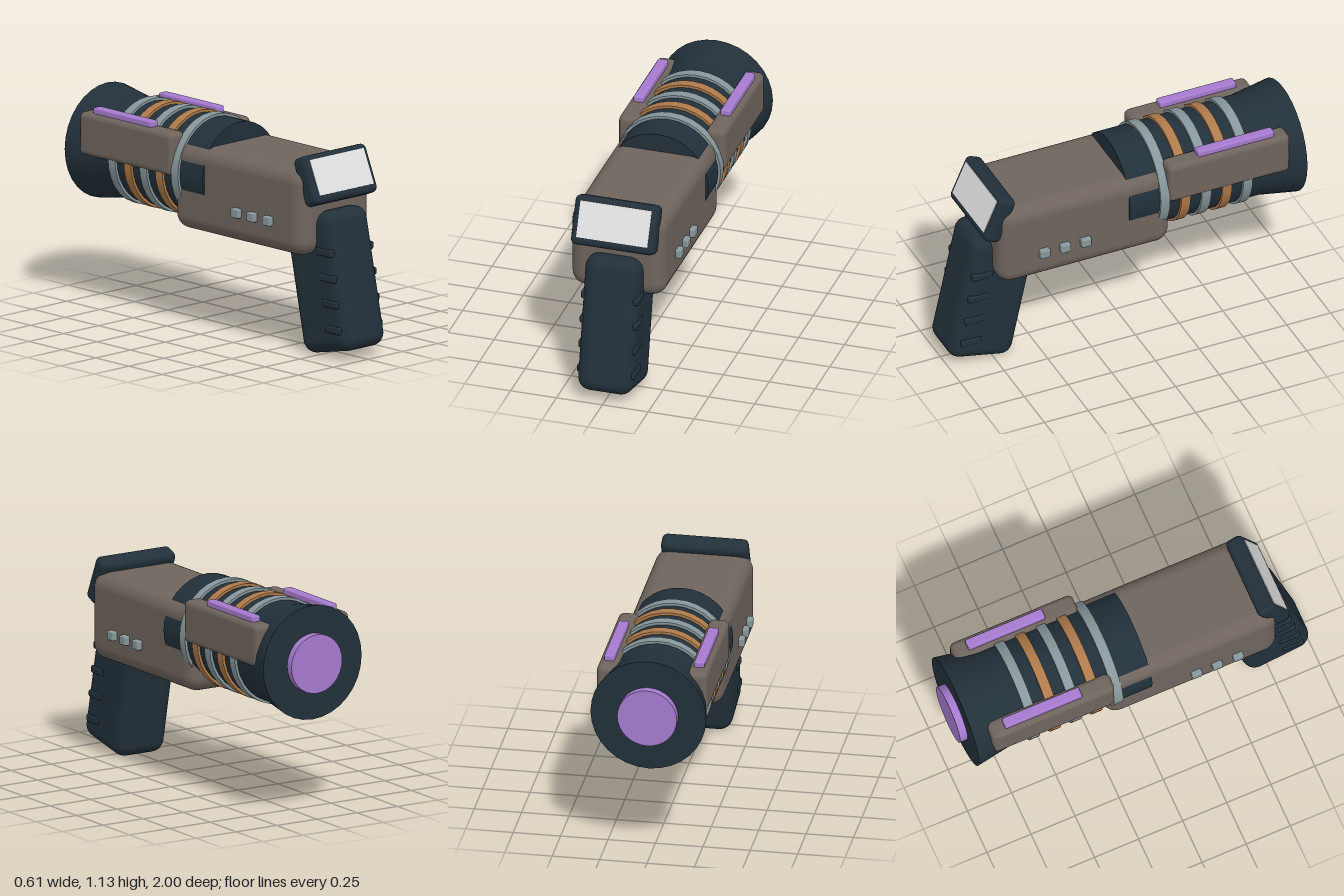
import * as THREE from 'three';
import { RoundedBoxGeometry } from 'three/addons/geometries/RoundedBoxGeometry.js';

const paint = (name, color) => {
  const m = new THREE.MeshStandardMaterial({ color });
  m.name = name;
  return m;
};

export function createModel() {
  const shell = paint('warm grey shell', 0x6e645d);
  const dark = paint('dark slate', 0x22303a);
  const steel = paint('pale steel', 0x87979b);
  const copper = paint('copper', 0xae7a4a);
  const violet = paint('violet glow', 0xa67bd0);
  const white = paint('screen white', 0xe2e2e2);

  const model = new THREE.Group();
  model.name = 'blaster';

  const add = (name, geometry, material, x, y, z, tilt = 0, parent = model) => {
    const mesh = new THREE.Mesh(geometry, material);
    mesh.name = name;
    mesh.position.set(x, y, z);
    mesh.rotation.x = tilt;
    parent.add(mesh);
    return mesh;
  };
  const rounded = (w, h, d, r) => new RoundedBoxGeometry(w, h, d, 4, r);
  // Cylinder along z: first radius at the +z end, second at the -z end
  const tube = (rNear, rFar, length) =>
    new THREE.CylinderGeometry(rNear, rFar, length, 32).rotateX(Math.PI / 2);

  // Main body
  add('body', rounded(0.514, 0.463, 0.98, 0.08), shell, 0, 0.768, 0.28);

  // Barrel, flared muzzle and glowing lens
  const axis = 0.83;
  add('barrel', tube(0.27, 0.27, 0.8), dark, 0, axis, -0.36);
  add('muzzle', tube(0.27, 0.305, 0.21), dark, 0, axis, -0.853);
  add('lens', tube(0.157, 0.157, 0.06), violet, 0, axis, -0.97);

  // Alternating coils around the barrel
  for (let i = 0; i < 5; i++) {
    add('coil', tube(0.284, 0.284, 0.053), i % 2 ? copper : steel, 0, axis, -0.157 - i * 0.118);
  }

  // Raked grip with side ridges
  add('grip', rounded(0.3, 0.74, 0.373, 0.07), dark, 0, 0.388, 0.754, -0.21);
  for (let i = 0; i < 4; i++) {
    add('gripRidge', rounded(0.314, 0.042, 0.118, 0.012), dark, 0, 0.565 - i * 0.134, 0.826 + i * 0.022);
  }

  // Tilted display at the rear of the body
  const display = new THREE.Group();
  display.name = 'display';
  display.position.set(0, 0.941, 0.757);
  display.rotation.x = -0.41;
  model.add(display);
  add('displayHousing', rounded(0.456, 0.262, 0.1, 0.03), dark, 0, 0, 0, 0, display);
  add('screen', new THREE.BoxGeometry(0.388, 0.193, 0.006), white, 0, 0.006, 0.05, 0, display);

  // Mirrored side rails, light strips and buttons
  for (const s of [-1, 1]) {
    add('rail', rounded(0.108, 0.23, 0.695, 0.03), shell, s * 0.237, 0.93, -0.523);
    add('lightStrip', rounded(0.054, 0.05, 0.435, 0.008), violet, s * 0.237, 1.05, -0.572);
    for (let i = 0; i < 3; i++) {
      add('button', rounded(0.05, 0.05, 0.056, 0.008), steel, s * 0.261, 0.702, 0.527 - i * 0.118);
    }
  }
  return model;
}
